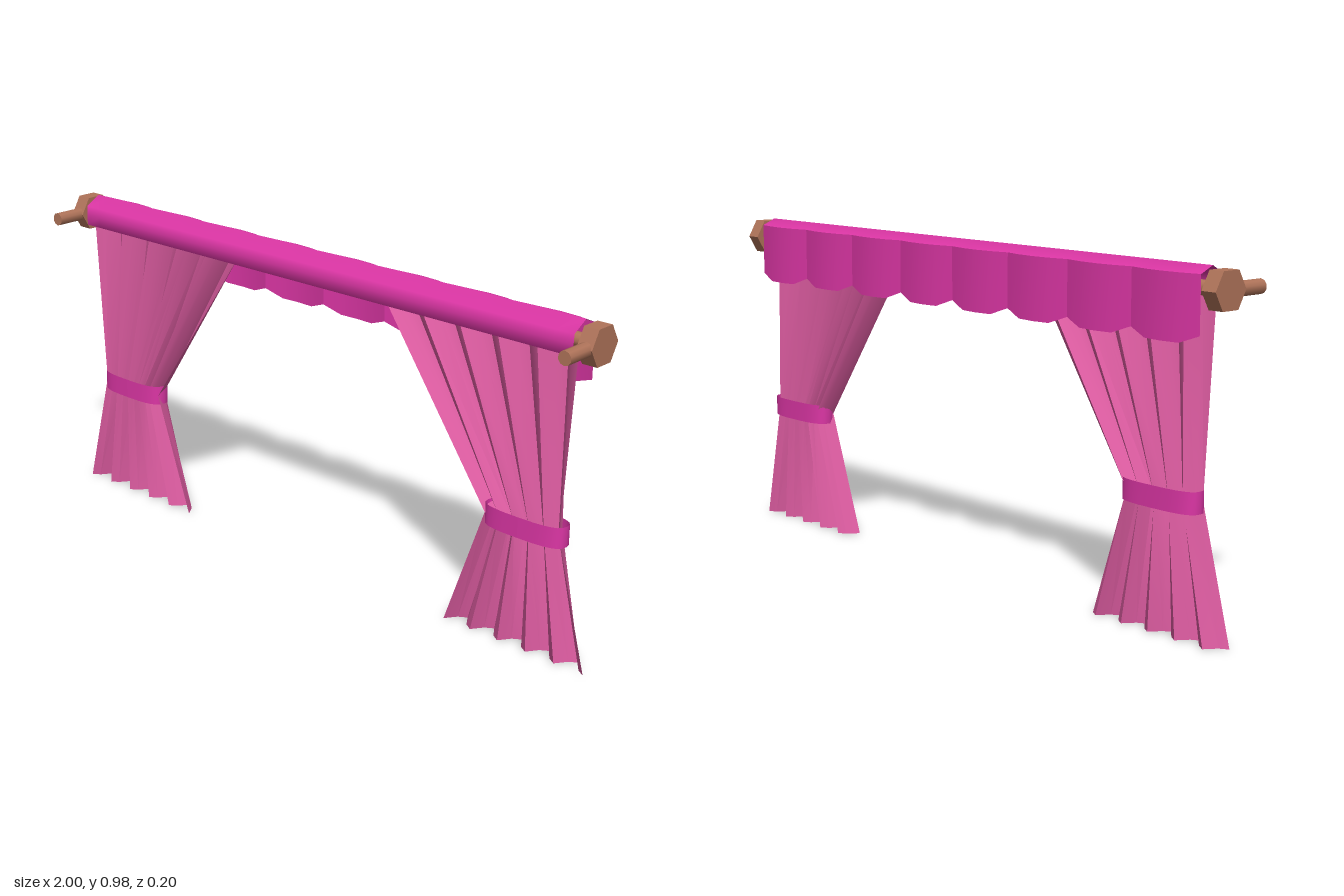
import * as THREE from 'three';
import { toCreasedNormals } from 'three/addons/utils/BufferGeometryUtils.js';

// Grid surface: point(i, j) returns [x, y, z]; i runs along +x, j runs down the cloth
function sheet(cols, rows, point) {
  const pos = [], idx = [];
  for (let j = 0; j <= rows; j++)
    for (let i = 0; i <= cols; i++) pos.push(...point(i, j));
  for (let j = 0; j < rows; j++)
    for (let i = 0; i < cols; i++) {
      const a = j * (cols + 1) + i, b = a + 1, c = a + cols + 1, d = c + 1;
      idx.push(a, c, b, b, c, d);
    }
  const g = new THREE.BufferGeometry();
  g.setAttribute('position', new THREE.Float32BufferAttribute(pos, 3));
  g.setIndex(idx);
  g.computeVertexNormals();
  return g;
}

export function createModel() {
  const group = new THREE.Group();
  const material = (name, color, side) => {
    const m = new THREE.MeshStandardMaterial({ color, side });
    m.name = name;
    return m;
  };
  const pink = material('curtainPink', 0xdd5ca1, THREE.DoubleSide);
  const magenta = material('valanceMagenta', 0xdc36a5, THREE.DoubleSide);
  const wood = material('wood', 0xb0745a, THREE.FrontSide);
  const add = (name, geometry, mat) => {
    const m = new THREE.Mesh(geometry, mat);
    m.name = name;
    group.add(m);
    return m;
  };

  const AXIS_Y = 0.918, AXIS_Z = -0.04, HALF = 0.93;

  // Rod, running through the valance
  const rod = add('rod', new THREE.CylinderGeometry(0.02, 0.02, 1.9, 12), wood);
  rod.rotation.z = Math.PI / 2;
  rod.position.set(0, AXIS_Y, AXIS_Z);

  // Valance: scalloped skirt at the back, in eight bowed panels
  const PANELS = 8, SEG = 4, cols = PANELS * SEG;
  const bow = [0, 0.75, 1, 0.75];
  const backZ = i => -0.083 - 0.016 * bow[i % SEG];
  const xAt = i => -HALF + (2 * HALF * i) / cols;

  // Hood wrapping over the rod, from the front lip to the back edge
  const hood = [[0.88, -0.012], [0.888, 0.009], [0.92, 0.01], [0.948, 0.008], [0.976, -0.04], [0.957, null]];
  add('valanceHood', sheet(cols, hood.length - 1, (i, j) => {
    const [y, z] = hood[hood.length - 1 - j];
    return [xAt(i), y, z ?? backZ(i)];
  }), magenta);

  add('valanceSkirt', toCreasedNormals(sheet(cols, 1, (i, j) => {
    const hem = 0.803 - 0.022 * Math.min(1, bow[i % SEG] * 1.3);
    return [xAt(i), j === 0 ? hem : 0.957, backZ(i)];
  }), 0.35), magenta);

  // Curtain rows: height, outer edge, inner edge
  const rows = [[0.912, 0.928, 0.275], [0.37, 0.9, 0.655], [0, 1, 0.525]];
  const FOLDS = 5, STEPS = 4;
  const foldZ = [-0.02, -0.035, -0.07, -0.055];

  for (const s of [1, -1]) {
    const side = s > 0 ? 'left' : 'right';

    // Pleated cloth gathered at the tie
    const cloth = sheet(FOLDS * STEPS, rows.length - 1, (i, j) => {
      const [y, outer, inner] = rows[j];
      const t = i / (FOLDS * STEPS);
      return [s * (outer + (inner - outer) * t), y, foldZ[i % STEPS]];
    });
    add(side + 'Curtain', toCreasedNormals(cloth, 0.5), pink);

    // Flattened loop of fabric round the waist
    const tie = add(side + 'TieBand', new THREE.CylinderGeometry(1, 1, 0.06, 24, 1, true), magenta);
    const p = tie.geometry.attributes.position;
    for (let k = 0; k < p.count; k++) {
      const x = p.getX(k), z = p.getZ(k);
      p.setX(k, 0.13 * Math.sign(x) * Math.abs(x) ** 0.7);
      p.setZ(k, 0.042 * Math.sign(z) * Math.abs(z) ** 0.7);
    }
    tie.geometry.computeVertexNormals();
    tie.position.set(s * 0.78, 0.37, -0.041);

    // Hexagonal end knob, one corner upwards
    const knobShape = new THREE.CylinderGeometry(0.0577, 0.0577, 0.046, 6);
    knobShape.rotateZ(Math.PI / 2);
    const knob = add(side + 'EndKnob', toCreasedNormals(knobShape, 0.5), wood);
    knob.position.set(s * 0.967, AXIS_Y, AXIS_Z);

    // Wall bracket peg
    const peg = add(side + 'BracketPeg', new THREE.CylinderGeometry(0.02, 0.02, 0.14, 10), wood);
    peg.rotation.x = Math.PI / 2;
    peg.position.set(s * 0.967, 0.916, 0.03);
  }
  return group;
}
